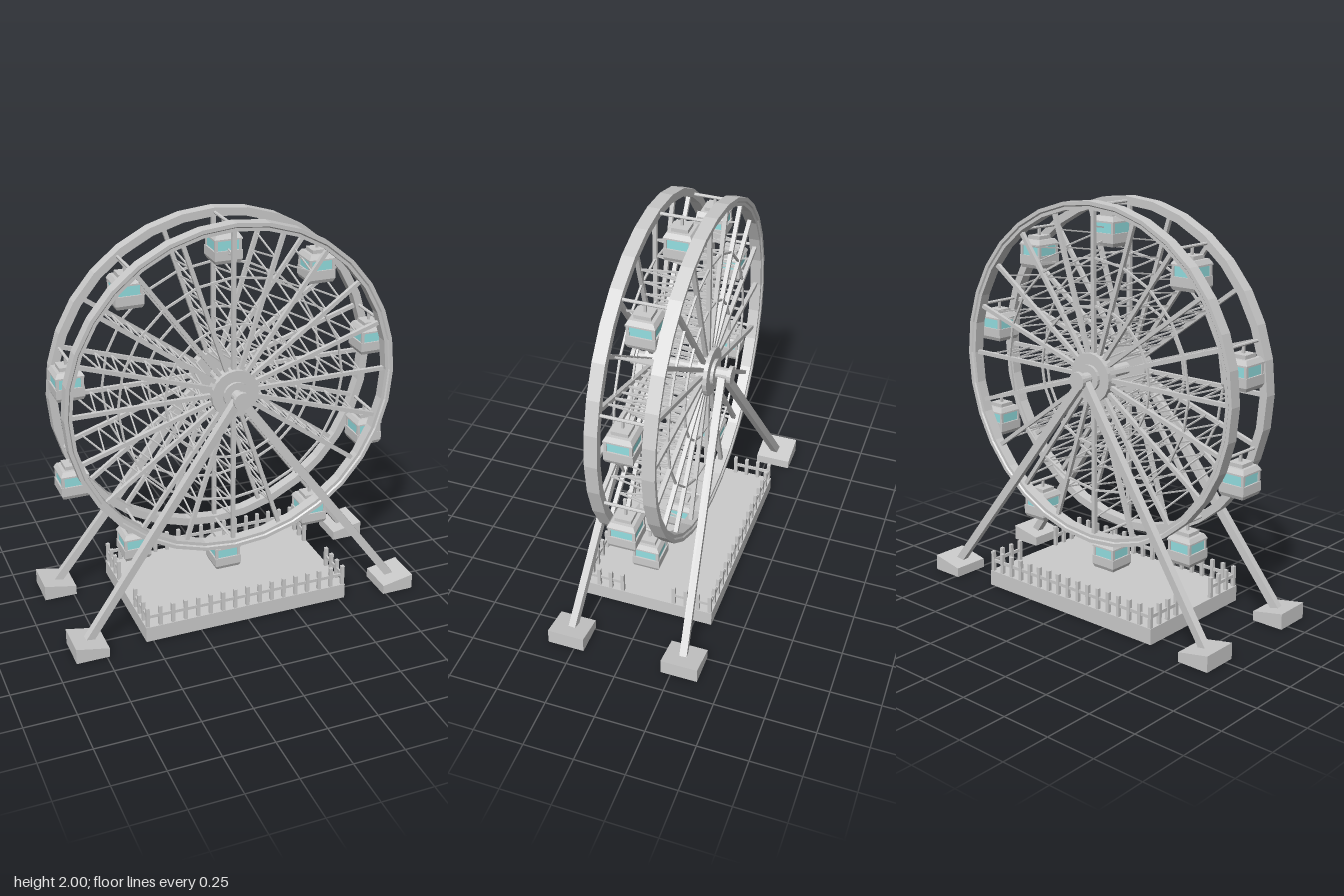
import * as THREE from 'three';
import { mergeGeometries } from 'three/addons/utils/BufferGeometryUtils.js';

const grey = new THREE.MeshStandardMaterial({ color: 0xcccccc, flatShading: true, side: THREE.DoubleSide });
const glass = new THREE.MeshStandardMaterial({ color: 0x94e0e2, flatShading: true });
const HUB_Y = 1.16, SPOKES = 20, CABINS = 10;
const V = (x, y, z) => new THREE.Vector3(x, y, z);

function box(w, h, d, x = 0, y = 0, z = 0) {
  return new THREE.BoxGeometry(w, h, d).translate(x, y, z);
}

// square bar between two points
function bar(a, b, w, d = w) {
  const dir = b.clone().sub(a);
  const g = new THREE.BoxGeometry(w, d, dir.length());
  const m = new THREE.Matrix4().lookAt(b, a, Math.abs(dir.y) > 0.99 * dir.length() ? V(1, 0, 0) : V(0, 1, 0));
  m.setPosition(a.clone().add(b).multiplyScalar(0.5));
  return g.applyMatrix4(m);
}

// cylinder along z
function disc(r, z0, z1, sides = 20) {
  return new THREE.CylinderGeometry(r, r, z1 - z0, sides).rotateX(Math.PI / 2).translate(0, 0, (z0 + z1) / 2);
}

function add(parent, name, geos, material = grey) {
  const mesh = new THREE.Mesh(Array.isArray(geos) ? mergeGeometries(geos) : geos, material);
  mesh.name = name;
  parent.add(mesh);
  return mesh;
}

// box without its bottom face
function openBox(w, h, d) {
  const g = box(w, h, d, 0, h / 2, 0);
  const idx = Array.from(g.index.array);
  idx.splice(18, 6);
  g.setIndex(idx);
  return g;
}

function polar(r, a, z) {
  return V(r * Math.cos(a), r * Math.sin(a), z);
}

function makeWheel() {
  const wheel = new THREE.Group();
  wheel.name = 'wheel';
  wheel.position.y = HUB_Y;
  const profile = [[0.8, 0.103], [0.84, 0.103], [0.84, 0.165], [0.822, 0.165], [0.816, 0.158], [0.8, 0.158], [0.8, 0.103]]
    .map(([r, y]) => new THREE.Vector2(r, y));
  const spokes = [], rings = [], braces = [], hubs = [];
  for (const s of [1, -1]) {
    const rim = add(wheel, 'rim', new THREE.LatheGeometry(profile, 32).rotateX(Math.PI / 2));
    if (s < 0) rim.rotation.y = Math.PI;
    for (let i = 0; i < SPOKES; i++) {
      const a = i * 2 * Math.PI / SPOKES, b = a + 2 * Math.PI / SPOKES;
      spokes.push(bar(polar(0.08, a, s * 0.13), polar(0.81, a, s * 0.13), 0.02));
      for (const r of [0.345, 0.575]) rings.push(bar(polar(r, a, s * 0.13), polar(r, b, s * 0.13), 0.01));
    }
    const hub = [disc(0.12, 0.105, 0.16), disc(0.065, 0.16, 0.175)];
    hubs.push(...hub.map(g => (s < 0 ? g.rotateY(Math.PI) : g)));
  }
  // zigzag lacing between each front spoke and its back twin
  const strokes = 14, r0 = 0.12, step = 0.6 / strokes;
  for (let i = 0; i < SPOKES; i++) {
    const a = i * 2 * Math.PI / SPOKES;
    for (let k = 0; k < strokes; k++) {
      const z = k % 2 ? 0.125 : -0.125;
      braces.push(bar(polar(r0 + k * step, a, z), polar(r0 + (k + 1) * step, a, -z), 0.007));
    }
  }
  add(wheel, 'spokes', spokes);
  add(wheel, 'spokeRings', rings);
  add(wheel, 'lacing', braces);
  add(wheel, 'hub', hubs);
  return wheel;
}

// cabin with its origin on the hanging pivot
function makeCabin() {
  const cabin = new THREE.Group();
  cabin.name = 'cabin';
  add(cabin, 'hanger', [disc(0.008, -0.13, 0.13, 8), box(0.012, 0.06, 0.012, 0, -0.03, 0)]);
  // lower body tapers towards the floor
  const tub = box(0.138, 0.045, 0.138, 0, -0.1575, 0);
  const floor = new THREE.CylinderGeometry(0.138 / Math.SQRT2, 0.122 / Math.SQRT2, 0.018, 4)
    .rotateY(Math.PI / 4).translate(0, -0.189, 0);
  const roof = new THREE.CylinderGeometry(0.112 / Math.SQRT2, 0.138 / Math.SQRT2, 0.022, 4)
    .rotateY(Math.PI / 4).translate(0, -0.068, 0);
  add(cabin, 'cabinBody', [tub, floor]);
  add(cabin, 'cabinRoof', [roof, box(0.138, 0.008, 0.138, 0, -0.083, 0), box(0.08, 0.02, 0.08, 0, -0.049, 0)]);
  const posts = [];
  for (const x of [-1, 1]) for (const z of [-1, 1]) posts.push(box(0.014, 0.052, 0.014, x * 0.059, -0.111, z * 0.059));
  add(cabin, 'cabinPosts', posts);
  add(cabin, 'cabinWindows', box(0.122, 0.05, 0.122, 0, -0.111, 0), glass);
  return cabin;
}

function makeSupports() {
  const supports = new THREE.Group();
  supports.name = 'supports';
  const axle = [disc(0.03, -0.25, 0.25, 16), disc(0.045, 0.235, 0.255, 16), disc(0.045, -0.255, -0.235, 16)];
  add(supports, 'axle', axle).position.y = HUB_Y;
  for (const x of [-1, 1]) for (const z of [-1, 1]) {
    add(supports, 'leg', bar(V(0, HUB_Y, z * 0.203), V(x * 0.815, 0.05, z * 0.288), 0.036, 0.04));
    // wedge foot, higher on its outer side
    const foot = openBox(0.165, 0.08, 0.185);
    const p = foot.attributes.position;
    for (let i = 0; i < p.count; i++) if (p.getY(i) > 0.01 && p.getX(i) * x < 0) p.setY(i, 0.048);
    foot.computeVertexNormals();
    add(supports, 'foot', foot).position.set(x * 0.8175, 0, z * 0.2925);
  }
  return supports;
}

function makePlatform() {
  const platform = new THREE.Group();
  platform.name = 'platform';
  add(platform, 'deck', openBox(1.07, 0.08, 0.675));
  const fence = [], X = 0.523, Z = 0.325, H = 0.105;
  const post = (x, z) => fence.push(box(0.018, H, 0.018, x, 0.08 + H / 2, z));
  for (const s of [1, -1]) {
    // long sides
    for (let i = 0; i <= 16; i++) post(-X + i * X / 8, s * Z);
    fence.push(box(2 * X, 0.016, 0.01, 0, 0.135, s * Z));
    // short sides, with an opening in the middle
    for (const x of [X, -X]) {
      for (let i = 1; i <= 3; i++) post(x, s * (Z - i * 0.063));
      fence.push(box(0.01, 0.016, 0.198, x, 0.135, s * (Z - 0.099)));
    }
  }
  add(platform, 'fence', fence);
  return platform;
}

export function createModel() {
  const model = new THREE.Group();
  model.name = 'ferrisWheel';
  model.add(makeWheel(), makeSupports(), makePlatform());
  for (let i = 0; i < CABINS; i++) {
    const cabin = makeCabin();
    cabin.position.copy(polar(0.817, Math.PI / 2 + i * 2 * Math.PI / CABINS, 0));
    cabin.position.y += HUB_Y;
    model.add(cabin);
  }
  return model;
}
